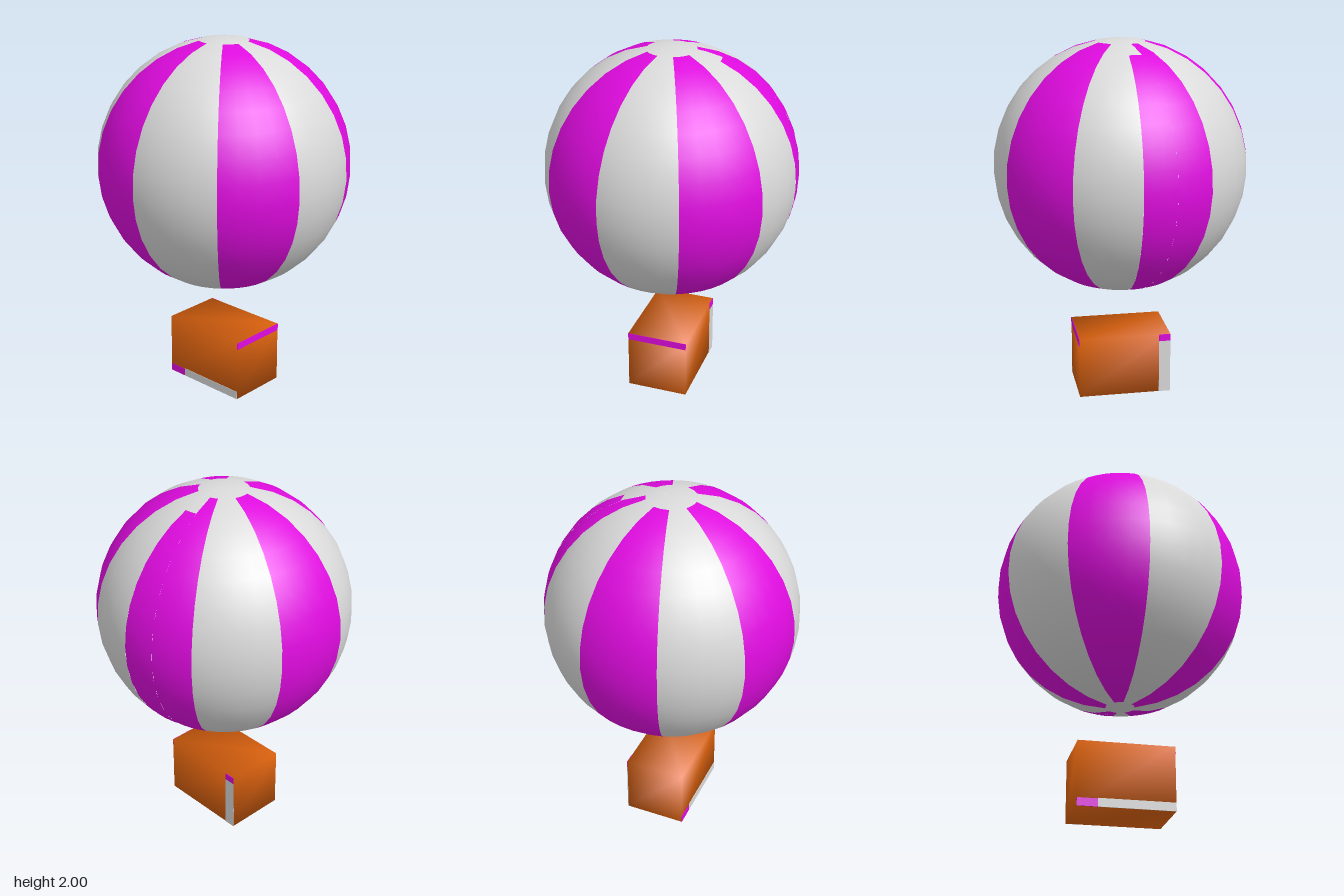
import * as THREE from 'three';
import { mergeVertices } from 'three/addons/utils/BufferGeometryUtils.js';

const material = (name, color) => {
  const m = new THREE.MeshStandardMaterial({ color });
  m.name = name;
  return m;
};

export function createModel() {
  const magenta = material('magenta', 0xdf0bdf);
  const grey = material('light grey', 0xdadada);
  const orange = material('basket orange', 0xd8600e);

  const model = new THREE.Group();
  model.name = 'hotAirBalloon';
  const add = (parent, name, geometry, mat, x, y, z) => {
    const mesh = new THREE.Mesh(geometry, mat);
    mesh.name = name;
    mesh.position.set(x, y, z);
    parent.add(mesh);
    return mesh;
  };

  // Envelope: a sphere cut into gores, measured in degrees from +x towards +z
  const envelope = new THREE.Group();
  envelope.name = 'envelope';
  envelope.position.y = 1.306;
  model.add(envelope);
  const R = 0.694;
  const rad = THREE.MathUtils.degToRad;
  const patch = (name, from, to, top, bottom, rows, mat) => {
    const columns = Math.max(2, Math.round((to - from) / 9));
    const geometry = new THREE.SphereGeometry(
      R, columns, rows, Math.PI - rad(to), rad(to - from), top, bottom - top);
    add(envelope, name, geometry, mat, 0, 0, 0);
  };
  const crown = Math.asin(0.135 / R);
  const notch = Math.asin(0.265 / R);
  const base = Math.PI - Math.asin(0.08 / R);

  // Start angle, end angle, painted, polar angle where the gore starts
  const gores = [
    [-123, -105, true, crown],
    [-105, -90, true, notch],
    [-90, -60.5, false, crown],
    [-60.5, -22, true, crown],
    [-22, 14, false, crown],
    [14, 50, true, crown],
    [50, 89, false, crown],
    [89, 125, true, crown],
    [125, 163, false, crown],
    [163, 199, true, crown],
    [199, 237, false, crown],
  ];
  for (const [from, to, painted, start] of gores) {
    patch('crownSegment', from, to, 0, start, 3, grey);
    patch(painted ? 'stripe' : 'plainGore', from, to, start, base, 16, painted ? magenta : grey);
    patch('baseSegment', from, to, base, Math.PI, 2, grey);
  }

  // Basket: a closed box with soft corner shading
  const basket = new THREE.Group();
  basket.name = 'basket';
  model.add(basket);
  const W = 0.52, H = 0.35, D = 0.346;
  let box = new THREE.BoxGeometry(W, H, D);
  box.deleteAttribute('normal');
  box.deleteAttribute('uv');
  box = mergeVertices(box);
  box.computeVertexNormals();
  add(basket, 'basketBody', box, orange, 0, H / 2, 0);

  // Painted trim plates on the front, left and back of the basket
  const T = 0.004;
  const frontTrim = (name, x0, x1, y0, y1, z, mat) => add(basket, name,
    new THREE.BoxGeometry(x1 - x0, y1 - y0, T), mat, (x0 + x1) / 2, (y0 + y1) / 2, z);
  frontTrim('frontTrimMagenta', -0.26, -0.15, 0, 0.043, D / 2, magenta);
  frontTrim('frontTrimGrey', -0.15, 0.26, 0, 0.046, D / 2, grey);
  frontTrim('backTrimGrey', -0.26, -0.195, 0, 0.31, -D / 2, grey);
  frontTrim('backTrimMagenta', -0.26, -0.195, 0.31, H, -D / 2, magenta);
  add(basket, 'leftTrim', new THREE.BoxGeometry(T, 0.04, D), magenta, W / 2, H - 0.02, 0);

  return model;
}
